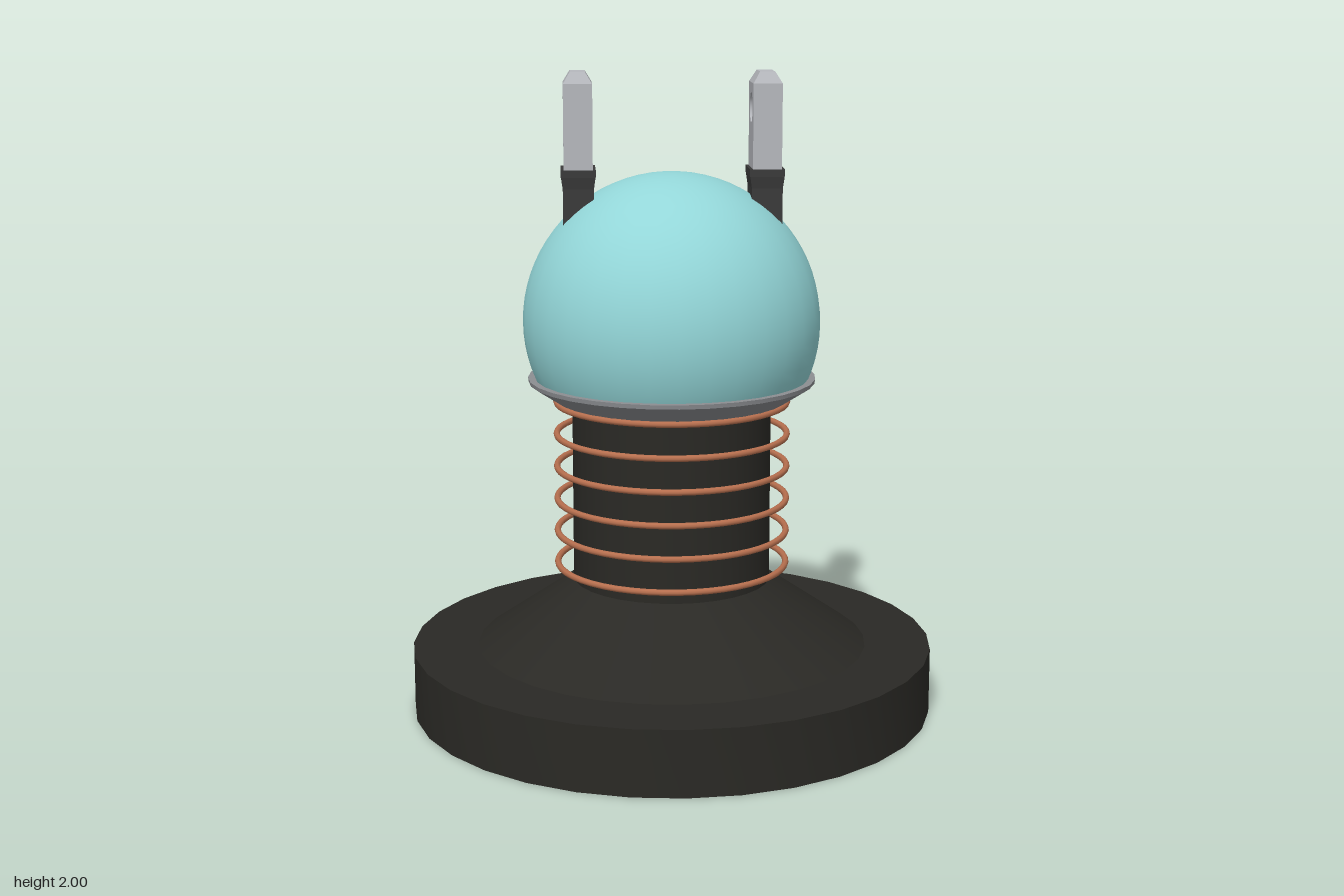
import * as THREE from 'three';
import { toCreasedNormals } from 'three/addons/utils/BufferGeometryUtils.js';

const SIDES = 32;
const mat = (color) => new THREE.MeshStandardMaterial({ color });
const rubber = mat(0x2a2925), glass = mat(0x93d6d8), copper = mat(0xb8704f);
const steel = mat(0xb6b8bd), collarSteel = mat(0x8c8e92), plastic = mat(0x3a3a3a);

function add(parent, name, geometry, material, x = 0, y = 0, z = 0) {
  const mesh = new THREE.Mesh(geometry, material);
  mesh.name = name;
  mesh.position.set(x, y, z);
  parent.add(mesh);
  return mesh;
}

// Turned profile of [radius, y] pairs, bottom to top, with sharp edges kept
function turned(profile) {
  const points = profile.map(([r, y]) => new THREE.Vector2(r, y));
  return toCreasedNormals(new THREE.LatheGeometry(points, SIDES), 0.4);
}

// Box standing on y = 0 whose top has its own width and depth
function taperedBox(w, d, topW, topD, h) {
  const g = new THREE.BoxGeometry(w, h, d).toNonIndexed();
  g.translate(0, h / 2, 0);
  const p = g.attributes.position;
  for (let i = 0; i < p.count; i++) {
    if (p.getY(i) > h / 2) p.setXYZ(i, p.getX(i) * topW / w, h, p.getZ(i) * topD / d);
  }
  g.computeVertexNormals();
  return g;
}

// Flat blade with a round eye through its thickness
function bladeGeometry(width, thickness, bottom, top, holeY, holeR) {
  const s = new THREE.Shape();
  s.moveTo(-width / 2, bottom);
  s.lineTo(width / 2, bottom);
  s.lineTo(width / 2, top);
  s.lineTo(-width / 2, top);
  s.closePath();
  const hole = new THREE.Path();
  hole.absarc(0, holeY, holeR, 0, Math.PI * 2, true);
  s.holes.push(hole);
  const g = new THREE.ExtrudeGeometry(s, { depth: thickness, bevelEnabled: false, curveSegments: 12 });
  g.translate(0, 0, -thickness / 2);
  g.rotateY(Math.PI / 2);
  return toCreasedNormals(g, 0.6);
}

function terminal(x, name) {
  const t = new THREE.Group();
  t.name = name;
  t.position.x = x;
  // Dark socket rising out of the globe, with a flared rim
  add(t, 'socket', taperedBox(0.094, 0.154, 0.094, 0.154, 0.21), plastic, 0, 1.44);
  add(t, 'socketFlare', taperedBox(0.094, 0.154, 0.104, 0.164, 0.035), plastic, 0, 1.65);
  add(t, 'socketRim', taperedBox(0.106, 0.166, 0.106, 0.166, 0.022), plastic, 0, 1.686);
  // Metal blade with a chamfered tip
  add(t, 'blade', bladeGeometry(0.154, 0.088, 1.68, 1.965, 1.89, 0.046), steel);
  add(t, 'bladeTip', taperedBox(0.088, 0.154, 0.046, 0.112, 0.035), steel, 0, 1.965);
  return t;
}

export function createModel() {
  const model = new THREE.Group();
  model.name = 'coilTerminal';

  // Disc foot, sloped shoulder and column in one turned piece
  add(model, 'base', turned([
    [0, 0], [0.82, 0], [0.82, 0.205], [0.615, 0.205], [0.31, 0.415], [0.31, 1.04], [0, 1.04],
  ]), rubber);

  // Six separate wire hoops around the column
  const hoop = new THREE.TorusGeometry(0.36, 0.01, 8, 48);
  hoop.rotateX(Math.PI / 2);
  for (let i = 0; i < 6; i++) add(model, 'wireHoop' + (i + 1), hoop, copper, 0, 0.466 + i * 0.1035, 0);

  // Flared cup holding the globe
  add(model, 'collar', turned([
    [0.3, 0.985], [0.35, 0.985], [0.445, 1.047], [0.447, 1.06], [0.3, 1.06],
  ]), collarSteel);

  // Globe, cut off inside the cup
  const radius = 0.46, centre = 1.235;
  add(model, 'globe', new THREE.SphereGeometry(radius, SIDES, 24, 0, Math.PI * 2, 0,
    Math.acos((1.05 - centre) / radius)), glass, 0, centre, 0);

  model.add(terminal(0.286, 'leftTerminal'), terminal(-0.286, 'rightTerminal'));
  return model;
}
